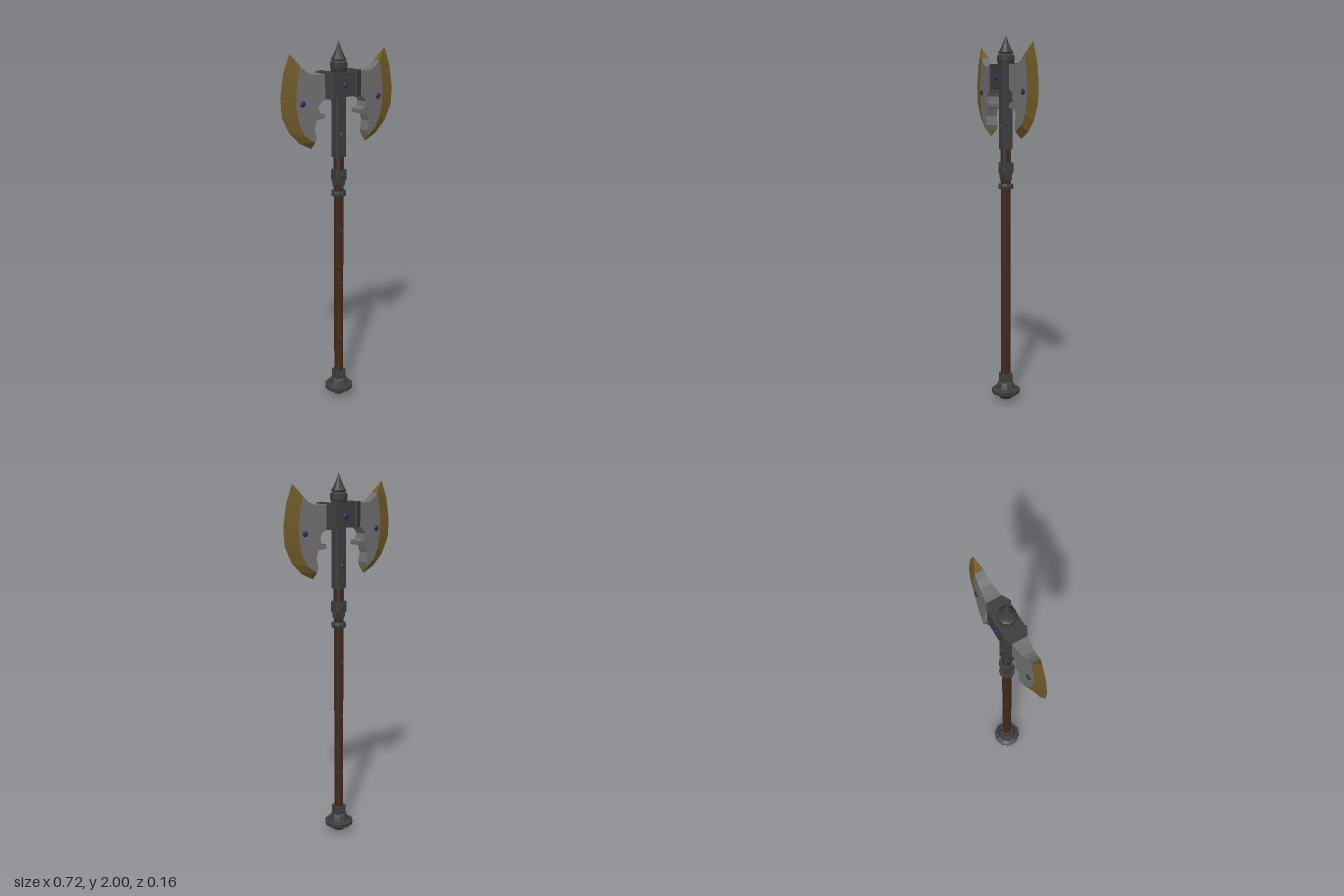
import * as THREE from 'three';

const mat = (color) => new THREE.MeshStandardMaterial({ color, flatShading: true });

export function createModel() {
  const model = new THREE.Group();
  const iron = mat(0x3c3c3c), steel = mat(0x706e6e), gold = mat(0x705a28);
  const wood = mat(0x40291a), gem = mat(0x2e2a5c);

  const add = (name, geometry, material, x = 0, y = 0, z = 0, parent = model) => {
    const mesh = new THREE.Mesh(geometry, material);
    mesh.name = name;
    mesh.position.set(x, y, z);
    parent.add(mesh);
    return mesh;
  };
  const lathe = (points, sides) =>
    new THREE.LatheGeometry(points.map(([r, y]) => new THREE.Vector2(r, y)), sides);
  const shapeOf = (points) => new THREE.Shape(points.map(([x, y]) => new THREE.Vector2(x, y)));
  // Domed stud on the front and the back
  const studs = (name, x, y, z, r, h, material) => {
    for (const s of [1, -1]) {
      const stud = add(name, lathe([[r, -0.012], [r, h * 0.5], [r * 0.6, h], [0, h]], 8), material, x, y, s * z);
      stud.rotation.x = s * Math.PI / 2;
    }
  };
  // Square bar with chamfered corners, standing on y
  const bar = (name, hx, hz, c, y0, y1) => {
    const g = new THREE.ExtrudeGeometry(shapeOf([
      [hx, -hz + c], [hx, hz - c], [hx - c, hz], [-hx + c, hz],
      [-hx, hz - c], [-hx, -hz + c], [-hx + c, -hz], [hx - c, -hz],
    ]), { depth: y1 - y0, bevelEnabled: false });
    g.rotateX(-Math.PI / 2);
    return add(name, g, iron, 0, y0, 0);
  };

  // Handle
  const shaft = new THREE.CylinderGeometry(0.026, 0.026, 1.3, 8);
  shaft.rotateY(Math.PI / 8);
  add('handle', shaft, wood, 0, 0.75, 0);
  for (const y of [0.36, 0.69, 0.99]) studs('handleStud', 0, y, 0.024, 0.009, 0.004, iron);

  // Pommel
  add('pommel', lathe([[0, 0.005], [0.03, 0.012], [0.042, 0.025], [0.078, 0.045], [0.08, 0.065],
    [0.055, 0.075], [0.045, 0.1], [0.033, 0.112], [0.025, 0.112]], 10), iron);
  bar('pommelCollar', 0.033, 0.031, 0.01, 0.1, 0.155);
  studs('pommelStud', 0, 0.13, 0.03, 0.014, 0.007, iron);

  // Fittings between the handle and the head
  add('handleRing', lathe([[0.024, 1.188], [0.038, 1.188], [0.041, 1.195], [0.041, 1.207],
    [0.038, 1.215], [0.024, 1.215]], 10), iron);
  bar('neck', 0.023, 0.023, 0.007, 1.3, 1.42);
  bar('neckCollar', 0.034, 0.033, 0.01, 1.275, 1.33);
  for (let i = 0; i < 4; i++) {
    const tongue = add('collarTongue', new THREE.ExtrudeGeometry(
      shapeOf([[-0.022, 0.06], [-0.014, 0.02], [0, 0], [0.014, 0.02], [0.022, 0.06]]),
      { depth: 0.01, bevelEnabled: false }), iron);
    tongue.geometry.translate(0, 1.225, 0.02);
    tongue.rotation.y = i * Math.PI / 2;
  }
  studs('neckStud', 0, 1.305, 0.032, 0.015, 0.007, iron);
  bar('socket', 0.033, 0.027, 0.007, 1.4, 1.74);
  studs('socketStud', 0, 1.52, 0.027, 0.014, 0.009, iron);

  // Head block and its tapering side clamps
  add('headBlock', new THREE.BoxGeometry(0.15, 0.123, 0.112), iron, 0, 1.782, 0);
  for (const s of [1, -1]) {
    const clamp = new THREE.ExtrudeGeometry(shapeOf([
      [0.064, -0.056], [0.072, -0.062], [0.114, -0.04], [0.114, 0.04], [0.072, 0.062], [0.064, 0.056],
    ]), { depth: 0.134, bevelEnabled: false });
    clamp.rotateX(-Math.PI / 2);
    const mesh = add('headClamp', clamp, iron, 0, 1.716, 0);
    if (s < 0) mesh.rotation.y = Math.PI;
  }
  studs('headGem', 0, 1.78, 0.056, 0.016, 0.01, gem);

  // Finial spike
  add('finial', lathe([[0.036, 1.835], [0.046, 1.865], [0.046, 1.892], [0.034, 1.902], [0.042, 1.908],
    [0.03, 1.925], [0.016, 1.955], [0, 2]], 10), iron);

  // Blades: thickness falls off steadily away from the head
  const half = (x) => 0.04 - (x - 0.114) * 0.125;
  const inner = [[0.25, 1.888], [0.268, 1.82], [0.277, 1.74], [0.274, 1.66], [0.256, 1.59], [0.225, 1.535], [0.172, 1.5]];
  const outer = [[0.3, 1.95], [0.337, 1.86], [0.358, 1.74], [0.352, 1.645], [0.31, 1.56], [0.25, 1.5], [0.175, 1.463]];
  const body = [[0.085, 1.846], [0.15, 1.842], [0.19, 1.845], [0.222, 1.862], ...inner,
    [0.165, 1.525], [0.175, 1.575], [0.163, 1.615], [0.117, 1.62], [0.115, 1.643], [0.147, 1.65],
    [0.152, 1.68], [0.138, 1.702], [0.115, 1.715], [0.085, 1.72]];

  const bodyGeometry = new THREE.ExtrudeGeometry(shapeOf(body), { depth: 1, bevelEnabled: false });
  const p = bodyGeometry.attributes.position;
  for (let i = 0; i < p.count; i++) p.setZ(i, (p.getZ(i) > 0.5 ? 1 : -1) * half(p.getX(i)));
  bodyGeometry.computeVertexNormals();

  // Cutting edge: wedge section (front, rim, back) swept along the arc
  const verts = [], index = [];
  inner.forEach(([x, y], i) => {
    verts.push(x, y, half(x), outer[i][0], outer[i][1], 0, x, y, -half(x));
    if (i === 0) return;
    const a = (i - 1) * 3, b = i * 3;
    index.push(a, b, b + 1, a, b + 1, a + 1);
    index.push(a + 1, b + 1, b + 2, a + 1, b + 2, a + 2);
  });
  const end = (inner.length - 1) * 3;
  index.push(0, 1, 2, end, end + 2, end + 1);
  const edgeGeometry = new THREE.BufferGeometry();
  edgeGeometry.setAttribute('position', new THREE.Float32BufferAttribute(verts, 3));
  edgeGeometry.setIndex(index);
  edgeGeometry.computeVertexNormals();

  for (const s of [1, -1]) {
    const blade = new THREE.Group();
    blade.name = s > 0 ? 'leftBlade' : 'rightBlade';
    if (s < 0) blade.rotation.y = Math.PI;
    add('bladeBody', bodyGeometry, steel, 0, 0, 0, blade);
    add('cuttingEdge', edgeGeometry, gold, 0, 0, 0, blade);
    model.add(blade);
    studs('bladeGem', s * 0.241, 1.702, 0.023, 0.016, 0.009, gem);
  }
  return model;
}
